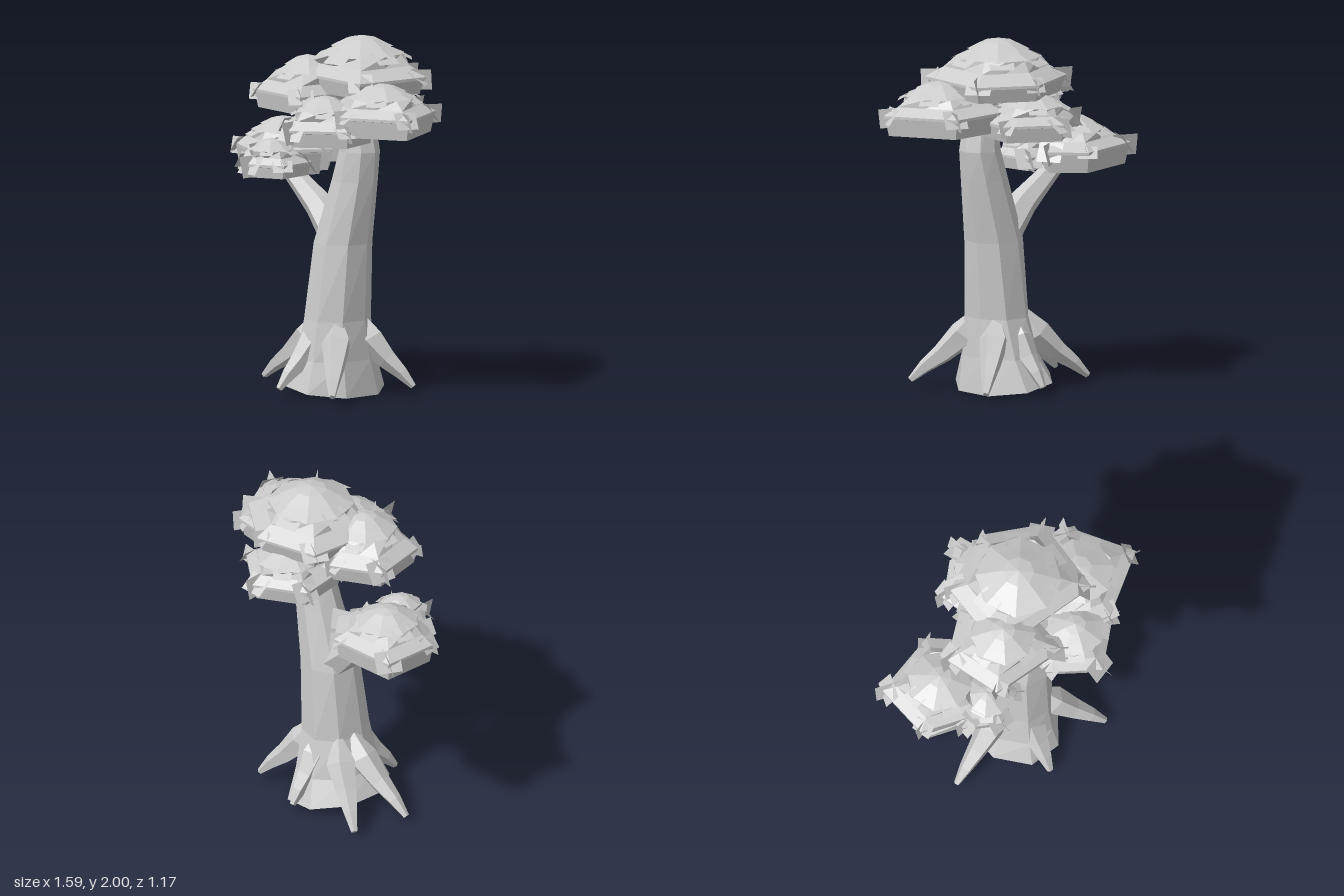
import * as THREE from 'three';

const grey = new THREE.MeshStandardMaterial({ color: 0xcccccc, flatShading: true, side: THREE.DoubleSide });
grey.name = 'plain grey';

// Skin a list of equal-length rings of Vector3, optionally closing the last one
function loft(name, rings, capEnd = false) {
  const pos = [];
  const tri = (a, b, c) => [a, b, c].forEach(v => pos.push(v.x, v.y, v.z));
  const n = rings[0].length;
  for (let r = 0; r < rings.length - 1; r++) {
    for (let i = 0; i < n; i++) {
      const j = (i + 1) % n, a = rings[r], b = rings[r + 1];
      tri(a[i], b[i], a[j]);
      tri(a[j], b[i], b[j]);
    }
  }
  if (capEnd) {
    const last = rings[rings.length - 1];
    const c = new THREE.Vector3();
    last.forEach(v => c.addScaledVector(v, 1 / n));
    last.forEach((v, i) => tri(c, last[(i + 1) % n], v));
  }
  const g = new THREE.BufferGeometry();
  g.setAttribute('position', new THREE.Float32BufferAttribute(pos, 3));
  g.computeVertexNormals();
  const m = new THREE.Mesh(g, grey);
  m.name = name;
  return m;
}

// Tapered limb along a list of [x, y, z, radius]
function limb(name, pts, sides) {
  const p = pts.map(q => new THREE.Vector3(q[0], q[1], q[2]));
  const rings = p.map((c, k) => {
    const t = p[Math.min(k + 1, p.length - 1)].clone().sub(p[Math.max(k - 1, 0)]).normalize();
    const side = new THREE.Vector3(-t.z, 0, t.x).normalize();
    const up = new THREE.Vector3().crossVectors(side, t);
    return Array.from({ length: sides }, (_, i) => {
      const a = i / sides * Math.PI * 2;
      return c.clone().addScaledVector(side, Math.cos(a) * pts[k][3]).addScaledVector(up, Math.sin(a) * pts[k][3]);
    });
  });
  return loft(name, rings, true);
}

// Trunk, open at the foot: [y, minX, maxX, minZ, maxZ]
function trunk() {
  const rows = [
    [0.03, -0.25, 0.23, -0.28, 0.3], [0.2, -0.18, 0.21, -0.21, 0.245], [0.42, -0.13, 0.2, -0.16, 0.21],
    [0.85, -0.09, 0.225, -0.14, 0.165], [1.2, 0.02, 0.28, -0.115, 0.115], [1.37, 0.075, 0.3, -0.105, 0.1],
    [1.65, 0.09, 0.25, -0.08, 0.08],
  ];
  const rings = rows.map(([y, x0, x1, z0, z1], k) => Array.from({ length: 8 }, (_, i) => {
    const a = (i + 0.5) / 8 * Math.PI * 2 + k * 0.06;
    const x = (x0 + x1) / 2 + Math.cos(a) * (x1 - x0) / 2 * 1.06;
    const z = (z0 + z1) / 2 + Math.sin(a) * (z1 - z0) / 2 * 1.06;
    return new THREE.Vector3(x, k ? y : 0.038 - x * 0.16, z);
  }));
  return loft('trunk', rings);
}

// Square leaf card, tilted from upright by `tilt` after turning by `turn`
function card(name, x, y, z, size, turn, tilt) {
  const m = new THREE.Mesh(new THREE.PlaneGeometry(size, size * 0.85), grey);
  m.name = name;
  m.position.set(x, y, z);
  m.rotation.set(tilt, turn, 0, 'YXZ');
  return m;
}

// Foliage pad: five-cornered skirt and roof, overhanging eight-sided cap, round underside, crossed leaf cards
function foliage({ name, c, base, rim, top, corners, dome, seed }) {
  const group = new THREE.Group();
  group.name = name;
  const outline = [];
  corners.forEach((p, i) => {
    const q = corners[(i + 1) % corners.length];
    outline.push(p, [(p[0] + q[0]) / 2, (p[1] + q[1]) / 2]);
  });
  const edge = (s, y) => outline.map(([x, z]) => new THREE.Vector3(c[0] + (x - c[0]) * s, y, c[1] + (z - c[1]) * s));
  const round = (r, y) => outline.map(([x, z]) => {
    const l = Math.hypot(x - c[0], z - c[1]);
    return new THREE.Vector3(c[0] + (x - c[0]) / l * r, y, c[1] + (z - c[1]) / l * r);
  });
  const h = top - rim;
  group.add(
    loft('skirt', [edge(0.92, base), edge(0.99, rim - 0.012)]),
    loft('rim', [edge(0.985, rim - 0.012), edge(1.02, rim - 0.01), edge(1.02, rim + 0.005)]),
    loft('roof', [edge(1.02, rim + 0.005), edge(0.76, rim + h * 0.28), round(dome * 1.45, rim + h * 0.56)]),
    loft('underside', [edge(0.94, rim - 0.02), round(dome * 1.35, base + 0.03), round(dome * 0.7, base + 0.005)], true),
  );
  const profile = [[1.5, 0.54], [0.9, 0.74], [1.08, 0.73], [0.55, 0.92], [0.01, 1]];
  const cap = new THREE.Mesh(new THREE.LatheGeometry(profile.map(([r, y]) => new THREE.Vector2(r * dome, y * h)), 8), grey);
  cap.name = 'cap';
  cap.position.set(c[0], rim, c[1]);
  cap.rotation.y = seed;
  group.add(cap);

  corners.forEach(([x, z], i) => {
    const a = Math.atan2(z - c[1], x - c[0]);
    const wave = Math.sin(seed + i * 2.3);
    const s = 0.13 + 0.02 * wave;
    // crossed pair at each corner: one steep, one leaning
    const px = c[0] + (x - c[0]) * 0.91, pz = c[1] + (z - c[1]) * 0.91;
    group.add(card('steepLeaf', px, rim - 0.01, pz, s, -a + 0.3 * wave, 0.25));
    group.add(card('leaningLeaf', px, rim, pz, s, -a + Math.PI / 2 + 0.3 * wave, i % 2 ? -0.95 : -0.6));
    // leaf lying along the roof
    const b = a + 0.6;
    group.add(card('roofLeaf', c[0] + Math.cos(b) * dome * 1.4, rim + h * 0.52, c[1] + Math.sin(b) * dome * 1.4,
      dome * 0.85, -b + Math.PI / 2, -1.1));
  });
  return group;
}

export function createModel() {
  const tree = new THREE.Group();
  tree.name = 'tree';
  tree.add(trunk());
  tree.add(limb('branch', [
    [0.07, 0.8, 0, 0.11], [-0.03, 0.915, 0, 0.1], [-0.15, 1.03, 0, 0.08], [-0.29, 1.13, 0, 0.062], [-0.45, 1.25, 0, 0.047],
  ], 6));

  // Roots, by their tips
  for (const [x, z] of [[-0.49, 0.1], [-0.43, -0.22], [-0.05, 0.38], [0.37, 0.36], [0.37, -0.24], [0, -0.31]]) {
    const at = (f, y, r) => [0.03 + (x - 0.03) * f, y, z * f, r];
    tree.add(limb('root', [at(0.27, 0.44, 0.02), at(0.4, 0.31, 0.085), at(0.64, 0.2, 0.06), at(0.84, 0.125, 0.04), at(1, 0.05, 0.018)], 5));
  }

  // Foliage pads
  const pads = [
    { name: 'crownFoliage', c: [0.12, -0.08], base: 1.69, rim: 1.78, top: 2.0, dome: 0.16,
      corners: [[-0.21, 0.14], [-0.18, -0.3], [0.15, -0.43], [0.45, -0.25], [0.41, 0.19]] },
    { name: 'upperRightFoliage', c: [-0.14, 0.09], base: 1.58, rim: 1.68, top: 1.88, dome: 0.12,
      corners: [[-0.44, -0.03], [-0.2, -0.2], [0.09, -0.1], [0.07, 0.33], [-0.36, 0.29]] },
    { name: 'leftFoliage', c: [0.44, 0.06], base: 1.5, rim: 1.61, top: 1.78, dome: 0.13,
      corners: [[0.77, 0.15], [0.42, 0.34], [0.15, 0.25], [0.2, -0.22], [0.57, -0.22]] },
    { name: 'frontFoliage', c: [0.22, 0.28], base: 1.44, rim: 1.53, top: 1.71, dome: 0.11,
      corners: [[-0.04, 0.34], [0, 0.08], [0.38, 0.06], [0.46, 0.32], [0.2, 0.53]] },
    { name: 'backFoliage', c: [0.06, -0.29], base: 1.47, rim: 1.56, top: 1.72, dome: 0.12,
      corners: [[-0.19, -0.36], [0.06, -0.54], [0.34, -0.36], [0.27, -0.06], [-0.13, -0.06]] },
    { name: 'branchFoliage', c: [-0.49, -0.04], base: 1.2, rim: 1.315, top: 1.485, dome: 0.12,
      corners: [[-0.74, -0.23], [-0.36, -0.3], [-0.2, -0.14], [-0.43, 0.22], [-0.74, 0.09]] },
    { name: 'lowBranchFoliage', c: [-0.34, 0.18], base: 1.19, rim: 1.26, top: 1.4, dome: 0.085,
      corners: [[-0.54, 0.21], [-0.46, 0.02], [-0.2, 0.01], [-0.17, 0.24], [-0.36, 0.33]] },
  ];
  pads.forEach((p, i) => tree.add(foliage({ ...p, seed: i * 1.7 })));
  return tree;
}
